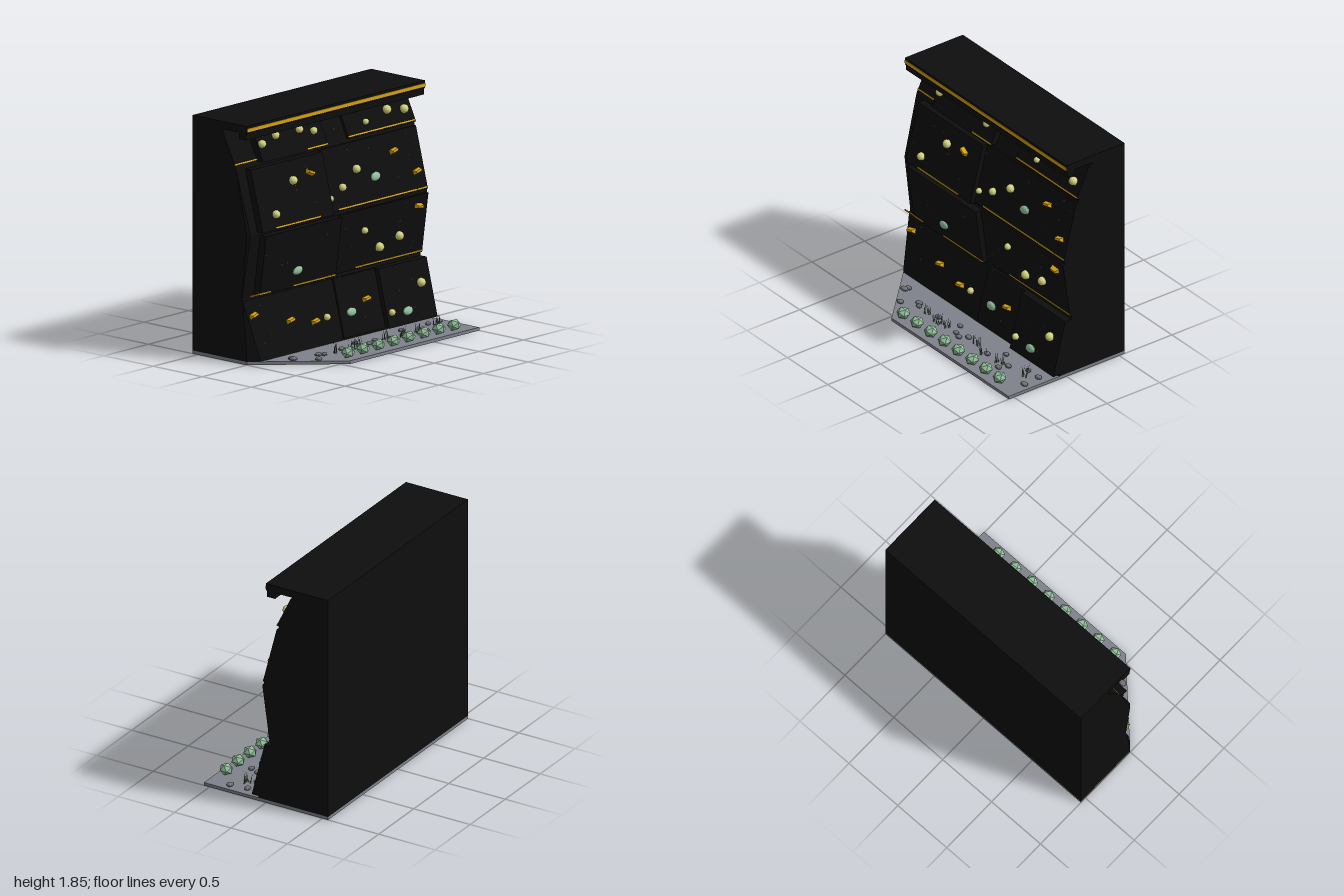
import * as THREE from 'three';
import { ConvexGeometry } from 'three/addons/geometries/ConvexGeometry.js';

const mat = (name, color, flatShading = true) => {
  const m = new THREE.MeshStandardMaterial({ color, flatShading });
  m.name = name;
  return m;
};

// Wall face: height breaks and the depth of the base wall at each
const YS = [0.025, 0.5, 1.0, 1.5, 1.79];
const ZS = [0.07, -0.05, 0.02, -0.11, -0.25];

// Raised panels per row: [x start, x end, thickness]
const PANELS = [
  [[-1, 0, 0.006], [0, 0.46, 0.02], [0.46, 1, 0.06]],
  [[-0.87, -0.02, 0.062], [-0.02, 1, 0.015]],
  [[-0.9, -0.1, 0.057], [-0.1, 1, 0.012]],
  [[-0.75, -0.02, 0.06], [0.25, 1, 0.025]],
];

const rowOf = y => (y < 0.5 ? 0 : y < 1 ? 1 : y < 1.5 ? 2 : 3);
const slope = r => (ZS[r + 1] - ZS[r]) / (YS[r + 1] - YS[r]);
const baseZ = (r, y) => ZS[r] + slope(r) * (y - YS[r]);
function surface(x, y) {
  const r = rowOf(y);
  const p = PANELS[r].find(([a, b]) => x >= a && x <= b);
  return { z: baseZ(r, y) + (p ? p[2] : 0), tilt: Math.atan(slope(r)) };
}

// Solid slab between two heights, its left corner cut at 45 degrees
function slab(x0, x1, y0, y1, z0, z1, back) {
  const pts = [];
  for (const [y, z] of [[y0, z0], [y1, z1]]) {
    pts.push([x0, y, back], [x1, y, back], [x1, y, z], [Math.max(x0, z - 1), y, z]);
    if (z > x0 + 1) pts.push([x0, y, x0 + 1]);
  }
  return new ConvexGeometry(pts.map(p => new THREE.Vector3(...p)));
}

export function createModel() {
  const root = new THREE.Group();
  const black = mat('wallBlack', 0x0e0e0e);
  const gold = mat('gold', 0xdaa40c);
  const yellow = mat('paleYellow', 0xd6d880);
  const green = mat('paleGreen', 0x93c09c);
  const grassGreen = mat('grassGreen', 0x55805a);
  const grey = mat('floorGrey', 0x7f828b);
  const stoneGrey = mat('stoneGrey', 0x6f737b);
  const boltGrey = mat('boltGrey', 0x4a4a4c);

  const add = (name, geo, m, x = 0, y = 0, z = 0, parent = root) => {
    const mesh = new THREE.Mesh(geo, m);
    mesh.name = name;
    mesh.position.set(x, y, z);
    parent.add(mesh);
    return mesh;
  };
  const group = name => {
    const g = new THREE.Group();
    g.name = name;
    root.add(g);
    return g;
  };
  let seed = 11;
  const rnd = () => (seed = (seed * 16807) % 2147483647) / 2147483647;

  // Floor with one cut corner
  const shape = new THREE.Shape(
    [[-1, 0.55], [-1, 0], [-0.45, -0.55], [1, -0.55], [1, 0.55]].map(p => new THREE.Vector2(...p)));
  const floor = new THREE.ExtrudeGeometry(shape, { depth: 0.025, bevelEnabled: false });
  add('floor', floor.rotateX(-Math.PI / 2), grey);

  // Base wall and raised panels, leaving a slot between rows
  const wall = group('wall');
  PANELS.forEach((row, r) => {
    add('baseWall', slab(-1, 1, YS[r], YS[r + 1], ZS[r], ZS[r + 1], -0.55), black, 0, 0, 0, wall);
    const y0 = YS[r] + 0.016, y1 = YS[r + 1] - 0.014;
    for (const [a, b, t] of row)
      add('panel', slab(a, b, y0, y1, baseZ(r, y0) + t, baseZ(r, y1) + t, -0.35), black, 0, 0, 0, wall);
  });

  // Overhanging cap with lip and gold band
  add('cap', new THREE.BoxGeometry(2, 0.06, 0.55), black, 0, 1.82, -0.275);
  add('capLip', new THREE.BoxGeometry(2, 0.06, 0.07), black, 0, 1.77, -0.045);
  add('capBand', new THREE.BoxGeometry(2, 0.026, 0.006), gold, 0, 1.817, 0.002);

  // Gold trim along the rows
  const trims = group('trim');
  for (const [y, a, b] of [
    [0.53, -0.98, -0.75], [0.53, -0.5, -0.02], [0.53, 0.25, 1],
    [1.03, -0.75, -0.25], [1.03, 0, 1],
    [1.53, -1, -0.75], [1.53, -0.25, -0.02], [1.53, 0.25, 1]]) {
    const s = surface((a + b) / 2, y);
    const t = add('trimStrip', new THREE.BoxGeometry(b - a, 0.01, 0.008), gold, (a + b) / 2, y, s.z, trims);
    t.rotation.x = s.tilt;
  }

  // Climbing holds
  const holds = group('holds');
  const ball = new THREE.IcosahedronGeometry(1, 2);
  const place = (name, geo, m, x, y, out) => {
    const s = surface(x, y);
    const h = add(name, geo, m, x, y, s.z + out, holds);
    h.rotation.x = s.tilt;
    return h;
  };
  for (const [x, y, r] of [
    [-0.71, 1.645, 0.033], [-0.54, 1.68, 0.032], [-0.275, 1.68, 0.032], [-0.13, 1.645, 0.03],
    [0.47, 1.605, 0.025], [0.73, 1.65, 0.036], [0.91, 1.625, 0.036], [-0.48, 1.34, 0.035],
    [-0.73, 1.13, 0.033], [-0.07, 1.125, 0.025], [0.08, 1.185, 0.031], [0.265, 1.29, 0.034],
    [0.3, 0.815, 0.028], [0.49, 0.65, 0.037], [0.705, 0.7, 0.036], [0.88, 0.317, 0.036],
    [-0.14, 0.225, 0.028], [0.51, 0.157, 0.028]])
    place('roundHold', ball, yellow, x, y, 0.012).scale.setScalar(r);

  for (const [x, y, r] of [[-0.47, 0.645, 0.2], [0.125, 0.22, 0], [0.69, 0.137, 0.1], [0.46, 1.2, 0.15]]) {
    const h = place('ovalHold', ball, green, x, y, 0.005);
    h.scale.set(0.052, 0.034, 0.022);
    h.rotation.z = r;
  }

  // Wedge hold: a box narrowed towards its front
  const wedge = new THREE.BoxGeometry(0.08, 0.045, 0.045);
  const wp = wedge.attributes.position;
  for (let i = 0; i < wp.count; i++)
    if (wp.getZ(i) > 0) wp.setXY(i, wp.getX(i) * 0.75, wp.getY(i) * 0.4);
  wedge.computeVertexNormals();
  for (const [x, y, r] of [
    [-0.92, 0.37, 0.25], [-0.535, 0.268, 0.2], [-0.27, 0.215, 0.18], [0.305, 0.287, 0.15],
    [0.895, 0.9, -0.1], [0.91, 1.163, 0.25], [0.7, 1.35, 0.2], [-0.28, 1.365, -0.45]])
    place('wedgeHold', wedge, gold, x, y, 0.012).rotation.z = r;

  // Small bolts dotted over the wall
  const bolt = new THREE.CylinderGeometry(0.005, 0.005, 0.006, 6).rotateX(Math.PI / 2);
  for (let i = 0; i < 64; i++)
    place('bolt', bolt, boltGrey, -0.85 + rnd() * 1.8, 0.12 + rnd() * 1.6, 0.002);

  // Row of faceted shrubs
  const garden = group('garden');
  const shrub = new THREE.IcosahedronGeometry(0.055, 0);
  for (let i = 0; i < 8; i++)
    add('shrub', shrub, green, -0.395 + i * 0.17, 0.07, 0.48, garden).scale.y = 0.85;

  // Flat stones
  const stone = new THREE.IcosahedronGeometry(1, 1);
  for (const [x, z] of [
    [-0.72, 0.22], [-0.71, 0.19], [-0.485, 0.26], [-0.45, 0.29], [-0.59, 0.36], [-0.235, 0.27],
    [-0.03, 0.22], [0.03, 0.305], [0.09, 0.325], [0.14, 0.27], [0.415, 0.305], [0.51, 0.2],
    [0.625, 0.36], [0.655, 0.29], [0.8, 0.21], [0.925, 0.21], [0.94, 0.355]]) {
    const w = 0.023 + rnd() * 0.013;
    add('stone', stone, stoneGrey, x, 0.035, z, garden).scale.set(w, 0.016, w * 0.75);
  }

  // Grass tufts
  const blade = new THREE.ConeGeometry(0.005, 0.09, 3).translate(0, 0.045, 0);
  for (const [x, z] of [[-0.32, 0.295], [-0.19, 0.315], [-0.1, 0.3], [0.25, 0.28], [0.39, 0.33], [0.58, 0.31], [0.85, 0.27]])
    for (let i = 0; i < 6; i++) {
      const b = add('grassBlade', blade, grassGreen, x + (rnd() - 0.5) * 0.07, 0.025, z + (rnd() - 0.5) * 0.05, garden);
      b.rotation.set((rnd() - 0.5) * 0.6, rnd() * 3, (rnd() - 0.5) * 0.2);
      b.scale.y = 0.75 + rnd() * 0.4;
    }

  return root;
}
